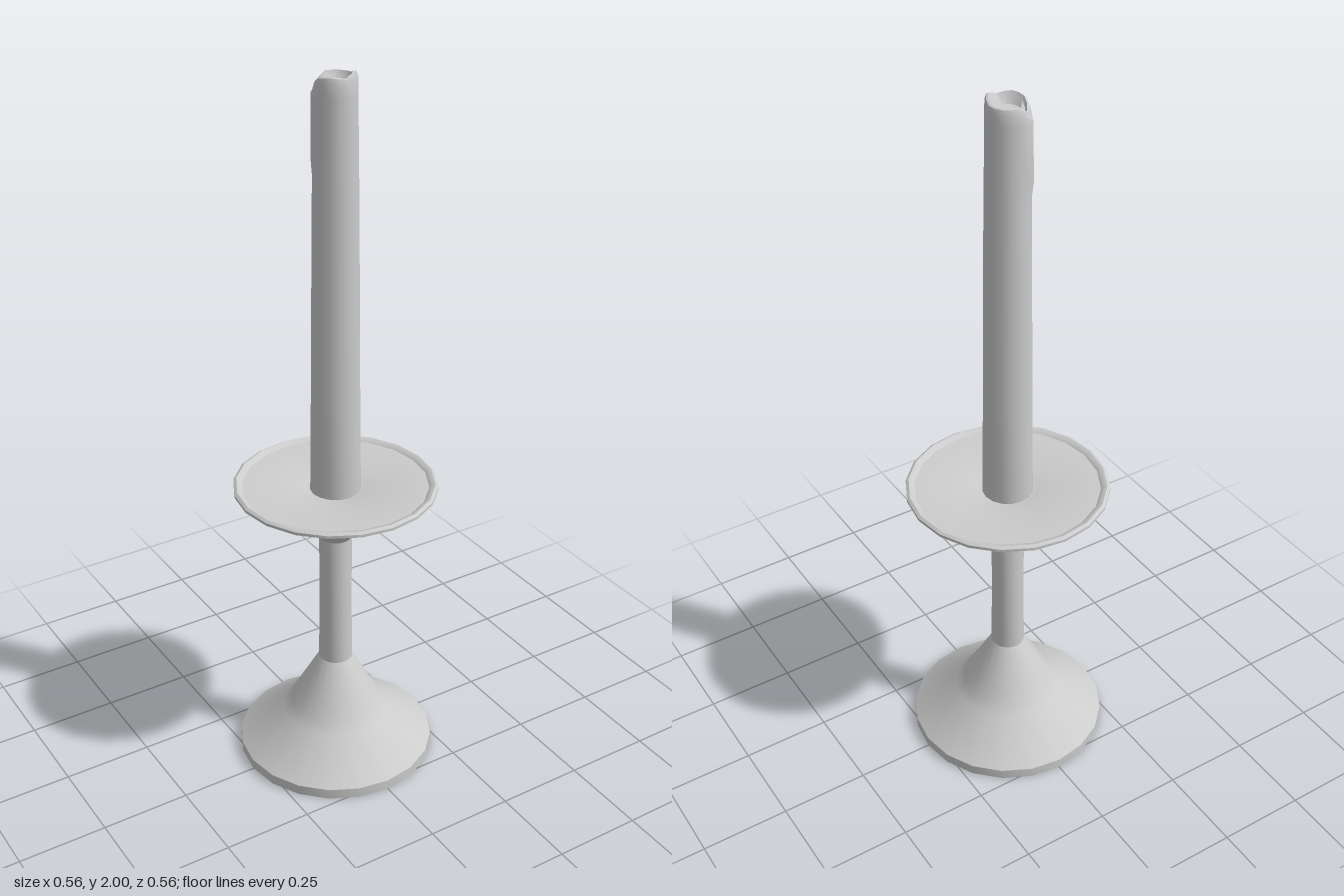
import * as THREE from 'three';
import { toCreasedNormals } from 'three/addons/utils/BufferGeometryUtils.js';

const material = new THREE.MeshStandardMaterial({ color: 0xcccccc });

function lathe(points, sides) {
  return new THREE.LatheGeometry(points.map(([r, y]) => new THREE.Vector2(r, y)), sides);
}

function addPart(group, name, geometry) {
  const mesh = new THREE.Mesh(toCreasedNormals(geometry, 0.6), material);
  mesh.name = name;
  group.add(mesh);
}

// 1 at the given direction, fading to 0 over the given width
function bump(angle, centre, width) {
  const d = Math.abs(Math.atan2(Math.sin(angle - centre), Math.cos(angle - centre)));
  return d < width ? 0.5 + 0.5 * Math.cos(Math.PI * d / width) : 0;
}

// Tapered candle with a melted, uneven rim and one wax drip
function candleGeometry() {
  const geometry = lathe([
    [0.07, 0.85], [0.066, 1.15], [0.061, 1.6], [0.059, 1.74], [0.058, 1.78], [0.056, 1.94],
    [0.055, 1.97], [0.051, 1.983], [0.046, 1.985], [0.041, 1.976], [0.03, 1.963], [0, 1.958],
  ], 16);
  const p = geometry.attributes.position;
  for (let i = 0; i < p.count; i++) {
    const x = p.getX(i), y = p.getY(i), z = p.getZ(i);
    const r = Math.hypot(x, z);
    const angle = Math.atan2(x, z);
    const drip = bump(angle, -Math.PI * 0.75, 0.8);
    if (y > 1.95 && r > 0.04) {
      p.setY(i, y + 0.015 * bump(angle, Math.PI / 4, 0.9)
        + 0.006 * bump(angle, -Math.PI / 4, 0.9) - 0.022 * drip);
    }
    if (y > 1.76 && y < 1.96) {
      const s = 1 + 0.1 * drip;
      p.setX(i, x * s);
      p.setZ(i, z * s);
    }
  }
  return geometry;
}

export function createModel() {
  const group = new THREE.Group();
  group.name = 'candlestick';

  addPart(group, 'foot', lathe([
    [0, 0], [0.28, 0], [0.28, 0.03], [0.155, 0.122], [0.13, 0.155], [0.107, 0.195], [0.048, 0.3],
  ], 20));
  addPart(group, 'stem', lathe([[0.048, 0.3], [0.045, 0.5], [0.046, 0.7]], 20));

  // Flared drip dish with a thin rim and a shallow seat around the candle
  addPart(group, 'dripDish', lathe([
    [0.046, 0.7], [0.065, 0.723], [0.09, 0.75], [0.125, 0.778], [0.28, 0.858], [0.28, 0.866],
    [0.272, 0.871], [0.261, 0.868], [0.255, 0.862], [0.097, 0.857], [0.085, 0.853], [0.06, 0.85], [0, 0.85],
  ], 20));

  addPart(group, 'candle', candleGeometry());
  return group;
}
